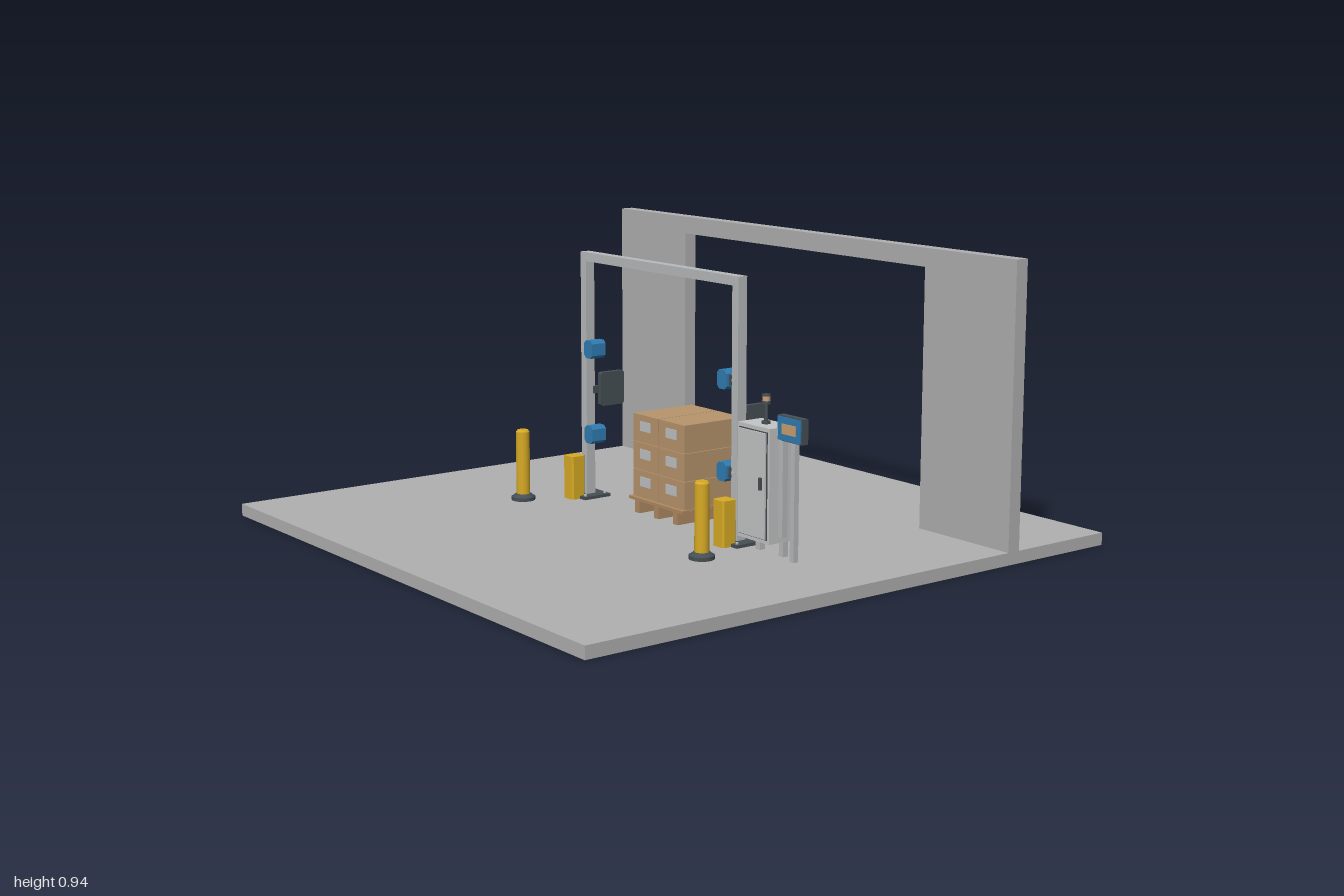
import * as THREE from 'three';

const mat = (name, color) => {
  const m = new THREE.MeshStandardMaterial({ color });
  m.name = name;
  return m;
};

export function createModel() {
  const root = new THREE.Group();
  root.name = 'loadingGateStation';
  const concrete = mat('concrete', 0xb0b0b0);
  const steel = mat('steel', 0xb8babc);
  const cabinetGrey = mat('cabinetGrey', 0xc4c5c5);
  const dark = mat('darkGrey', 0x454f54);
  const blue = mat('blue', 0x2f7db3);
  const yellow = mat('safetyYellow', 0xd8ab25);
  const carton = mat('cardboard', 0xb8956c);
  const wood = mat('palletWood', 0xb08a62);
  const label = mat('labelGrey', 0xc0c2c4);
  const screen = mat('screenTan', 0xc9a070);

  const add = (parent, name, geo, m) => {
    const mesh = new THREE.Mesh(geo, m);
    mesh.name = name;
    parent.add(mesh);
    return mesh;
  };
  // Box given by its limits on each axis
  const box = (parent, name, m, x0, x1, y0, y1, z0, z1) => {
    const mesh = add(parent, name, new THREE.BoxGeometry(x1 - x0, y1 - y0, z1 - z0), m);
    mesh.position.set((x0 + x1) / 2, (y0 + y1) / 2, (z0 + z1) / 2);
    return mesh;
  };
  // Upright cylinder from y0 to y1
  const cyl = (parent, name, m, x, z, y0, y1, r0, r1 = r0) => {
    const mesh = add(parent, name, new THREE.CylinderGeometry(r1, r0, y1 - y0, 24), m);
    mesh.position.set(x, (y0 + y1) / 2, z);
    return mesh;
  };
  // Block with chamfered corners, extruded along z
  const chamfered = (parent, name, m, w, h, d, c, x, y, z) => {
    const a = w / 2, b = h / 2;
    const s = new THREE.Shape([[-a + c, -b], [a - c, -b], [a, -b + c], [a, b - c],
      [a - c, b], [-a + c, b], [-a, b - c], [-a, -b + c]].map(p => new THREE.Vector2(...p)));
    const geo = new THREE.ExtrudeGeometry(s, { depth: d, bevelEnabled: false }).translate(0, 0, -d / 2);
    const mesh = add(parent, name, geo, m);
    mesh.position.set(x, y, z);
    return mesh;
  };
  const group = (name) => {
    const g = new THREE.Group();
    g.name = name;
    root.add(g);
    return g;
  };

  // Floor slab and wall with a wide doorway
  box(root, 'floor', concrete, -1, 1, 0, 0.04, -1, 1);
  const wallShape = new THREE.Shape([[-1, 0.04], [-0.615, 0.04], [-0.615, 0.88], [0.61, 0.88],
    [0.61, 0.04], [1, 0.04], [1, 0.94], [-1, 0.94]].map(p => new THREE.Vector2(...p)));
  add(root, 'doorwayWall', new THREE.ExtrudeGeometry(wallShape, { depth: 0.046, bevelEnabled: false }), concrete)
    .position.z = -0.623;

  // Gantry frame with sensors, mirrored on both sides
  const gantry = group('gantry');
  box(gantry, 'crossBeam', steel, -0.418, 0.418, 0.845, 0.875, -0.017, 0.017);
  for (const s of [-1, 1]) {
    const side = group(s < 0 ? 'rightGantrySide' : 'leftGantrySide');
    const sbox = (name, m, xa, xb, ...r) =>
      box(side, name, m, Math.min(s * xa, s * xb), Math.max(s * xa, s * xb), ...r);
    sbox('post', steel, 0.388, 0.418, 0.04, 0.845, -0.017, 0.017);
    sbox('basePlate', dark, 0.35, 0.462, 0.04, 0.05, -0.053, 0.053);
    for (const x of [0.365, 0.447]) for (const z of [-0.04, 0.04])
      cyl(side, 'anchorBolt', steel, s * x, z, 0.05, 0.056, 0.005);
    for (const y of [0.552, 0.262]) {
      sbox('antennaBracket', dark, 0.376, 0.39, y - 0.016, y + 0.016, -0.018, 0.022);
      chamfered(side, 'antenna', blue, 0.046, 0.06, 0.055, 0.01, s * 0.357, y, 0.004);
      sbox('antennaMount', steel, 0.375, 0.41, y - 0.004, y + 0.004, -0.023, 0.02);
    }
    // Flat reader panel behind the post
    const panel = chamfered(side, 'readerPanel', dark, 0.095, 0.115, 0.018, 0.006, s * 0.378, 0.408, -0.077);
    panel.rotation.y = Math.PI / 2;
    sbox('panelArm', dark, 0.382, 0.394, 0.395, 0.42, -0.05, -0.01);
    // Impact guard in front of the post
    const guard = chamfered(side, 'impactGuard', yellow, 0.054, 0.054, 0.147, 0.006, s * 0.406, 0.1135, 0.057);
    guard.rotation.x = -Math.PI / 2;

    // Bollard
    const bollard = group('bollard');
    const bx = s * 0.488, bz = 0.21;
    cyl(bollard, 'bollardFoot', dark, bx, bz, 0.04, 0.052, 0.04);
    cyl(bollard, 'bollardCollar', dark, bx, bz, 0.052, 0.062, 0.038, 0.026);
    cyl(bollard, 'bollardPost', yellow, bx, bz, 0.06, 0.274, 0.023);
    cyl(bollard, 'bollardCap', yellow, bx, bz, 0.274, 0.28, 0.023, 0.018);
  }

  // Pallet: three runners and seven slats
  const pallet = group('pallet');
  for (const x of [-0.103, 0, 0.103])
    box(pallet, 'runner', wood, x - 0.012, x + 0.012, 0.04, 0.084, -0.246, 0.016);
  for (let i = 0; i < 7; i++) {
    const z = -0.234 + i * 0.0398;
    box(pallet, 'slat', wood, -0.145, 0.145, 0.082, 0.092, z - 0.015, z + 0.015);
  }

  // Two columns of three cartons with front labels
  const load = group('cartons');
  for (const s of [-1, 1]) for (let i = 0; i < 3; i++) {
    const y = 0.092 + i * 0.0925;
    box(load, 'carton', carton, s < 0 ? -0.137 : 0.0015, s < 0 ? -0.0015 : 0.137, y, y + 0.091, -0.236, 0.006);
    box(load, 'cartonLabel', label, s * 0.07 - 0.028, s * 0.07 + 0.028, y + 0.038, y + 0.07, 0.006, 0.009);
  }

  // Control cabinet with door, handle and legs
  const cabinet = group('controlCabinet');
  box(cabinet, 'cabinetBody', cabinetGrey, 0.485, 0.635, 0.09, 0.445, -0.023, 0.07);
  box(cabinet, 'doorSeal', dark, 0.494, 0.626, 0.102, 0.433, 0.07, 0.073);
  box(cabinet, 'door', cabinetGrey, 0.497, 0.623, 0.105, 0.43, 0.072, 0.078);
  box(cabinet, 'doorHandle', dark, 0.601, 0.61, 0.255, 0.293, 0.078, 0.085);
  box(cabinet, 'sideRail', steel, 0.635, 0.655, 0.11, 0.415, 0.015, 0.035);
  for (const x of [0.505, 0.615])
    box(cabinet, 'cabinetLeg', steel, x - 0.01, x + 0.01, 0.04, 0.09, -0.015, 0.005);

  // Signal light on the cabinet
  const signal = group('signalLight');
  cyl(signal, 'signalFoot', dark, 0.56, 0.022, 0.445, 0.453, 0.014);
  cyl(signal, 'signalStem', dark, 0.56, 0.022, 0.453, 0.51, 0.006);
  cyl(signal, 'signalCollar', dark, 0.56, 0.022, 0.505, 0.515, 0.014);
  cyl(signal, 'signalLens', screen, 0.56, 0.022, 0.515, 0.53, 0.012);
  cyl(signal, 'signalCap', dark, 0.56, 0.022, 0.53, 0.535, 0.013);

  // Operator display on its own pole
  const display = group('operatorDisplay');
  box(display, 'displayPole', steel, 0.678, 0.696, 0.04, 0.41, 0.006, 0.024);
  box(display, 'displayBody', dark, 0.63, 0.74, 0.408, 0.485, 0.01, 0.035);
  box(display, 'displayBezel', blue, 0.633, 0.737, 0.411, 0.482, 0.035, 0.039);
  box(display, 'displayScreen', screen, 0.655, 0.718, 0.431, 0.462, 0.039, 0.042);
  return root;
}
